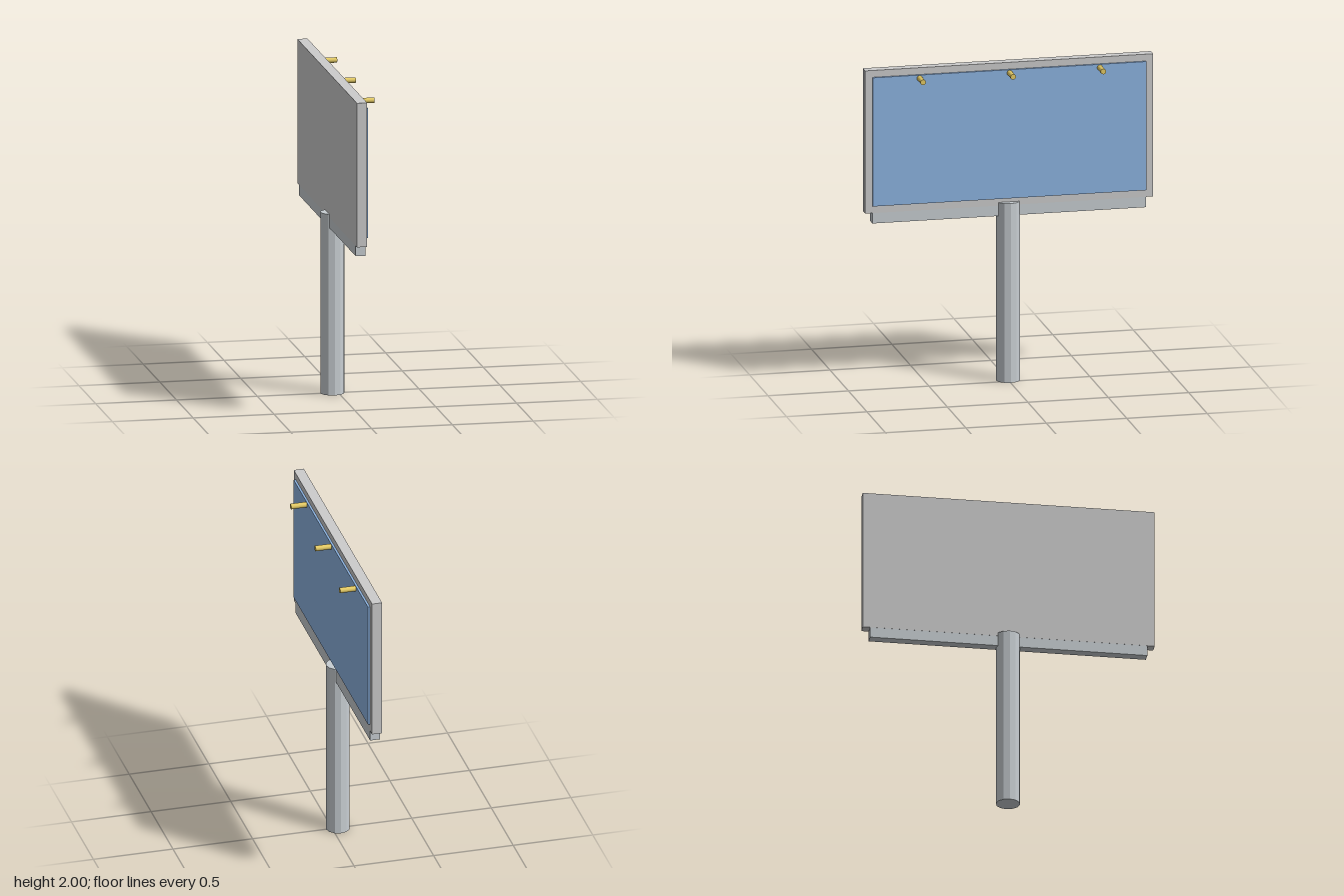
import * as THREE from 'three';

const material = (color, flatShading = false) =>
  new THREE.MeshStandardMaterial({ color, flatShading });

export function createModel() {
  const model = new THREE.Group();
  model.name = 'billboard';
  const frameGrey = material(0xcccccc);
  const steel = material(0xc8ced2, true);
  const blue = material(0x8db4e2);
  const yellow = material(0xe6cc66);

  const add = (name, geometry, mat, x, y, z) => {
    const mesh = new THREE.Mesh(geometry, mat);
    mesh.name = name;
    mesh.position.set(x, y, z);
    model.add(mesh);
    return mesh;
  };
  // Box given by its x and y limits, centred on z
  const slab = (name, mat, x0, x1, y0, y1, depth) =>
    add(name, new THREE.BoxGeometry(x1 - x0, y1 - y0, depth), mat, (x0 + x1) / 2, (y0 + y1) / 2, 0);

  // Supporting post, 12-sided
  add('post', new THREE.CylinderGeometry(0.074, 0.074, 1.125, 12), steel, -0.036, 0.5625, 0);

  // Crossbeam, backing frame and display panel
  slab('crossbeam', steel, -0.067, -0.005, 1.04, 1.105, 1.7);
  slab('frame', frameGrey, -0.068, -0.005, 1.105, 2, 1.79);
  slab('displayPanel', blue, -0.01, 0.008, 1.15, 1.957, 1.7);

  // Lamps projecting from the top of the panel
  [-0.56, 0, 0.56].forEach((z, i) => {
    const lamp = add(`lamp${i + 1}`, new THREE.CylinderGeometry(0.017, 0.017, 0.107, 12), yellow, 0.0535, 1.937, z);
    lamp.rotation.z = -Math.PI / 2;
  });

  return model;
}
